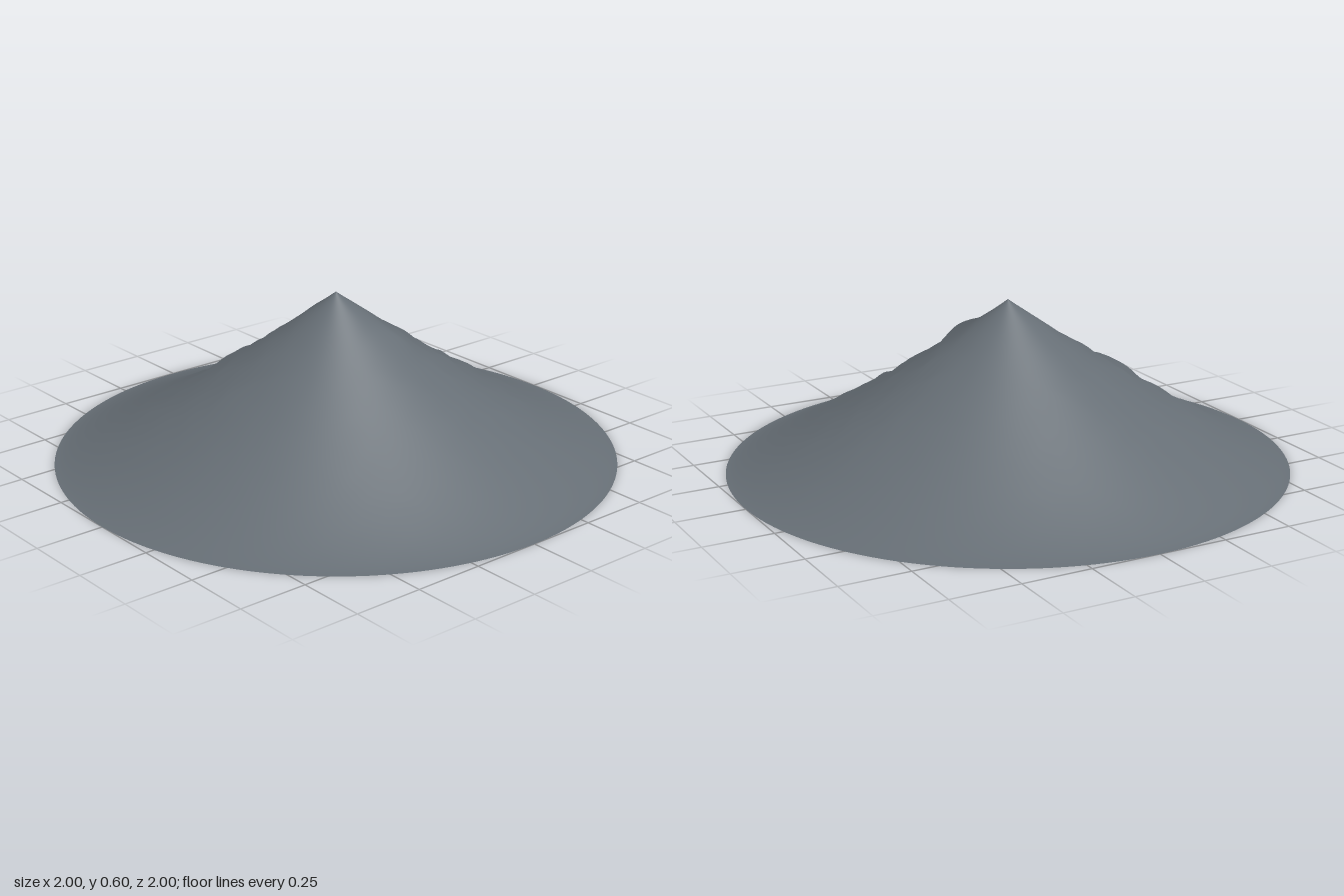
import * as THREE from 'three';

const HEIGHT = 0.6;

// Relative spread of the slope every 22.5 degrees, from +x towards +z
const SPREAD = [0.67, 0.63, 0.6, 0.65, 0.66, 0.685, 0.67, 0.62, 0.61, 0.64, 0.68, 0.695, 0.655, 0.64, 0.645, 0.68]
  .map((r) => r / 0.65);

// Local shoulders: x, z, lift, radius
const SHOULDERS = [
  [0.2, -0.08, 0.03, 0.07],
  [-0.4, -0.05, 0.035, 0.07],
  [0.0, 0.45, 0.025, 0.07],
  [0.42, 0.46, 0.015, 0.08],
];

const profile = (r) => HEIGHT * Math.pow(Math.max(0, 1 - r), 1.25);

function spreadAt(angle) {
  const t = ((angle / (Math.PI * 2) + 1) % 1) * 16;
  const i = Math.floor(t) % 16;
  const f = t - Math.floor(t);
  return THREE.MathUtils.lerp(SPREAD[i], SPREAD[(i + 1) % 16], f * f * (3 - 2 * f));
}

// Ground height: smooth cone, uneven spread, shoulders and fine ridges
function heightAt(x, z) {
  const r = Math.hypot(x, z);
  const fade = Math.min(1, r / 0.3) * Math.min(1, (1 - r) / 0.35);
  const angle = Math.atan2(z, x);
  const scale = 1 + (spreadAt(angle) - 1) * Math.max(0, fade);
  let y = profile(r / scale);
  for (const [sx, sz, lift, size] of SHOULDERS) {
    y += lift * Math.exp(-((x - sx) ** 2 + (z - sz) ** 2) / (size * size));
  }
  const ridges = Math.sin(x * 23 + Math.sin(z * 17) * 1.5) * Math.sin(z * 21 + Math.sin(x * 19) * 1.5);
  const grain = Math.sin(x * 51 + z * 13) * Math.sin(z * 47 - x * 17);
  return y + Math.max(0, fade) * (ridges * 0.009 + grain * 0.004);
}

export function createModel() {
  const rock = new THREE.MeshStandardMaterial({ color: 0x666e75, side: THREE.DoubleSide });
  rock.name = 'slate grey rock';

  // Smooth cone from rim to peak
  const rings = 80;
  const points = [];
  for (let i = 0; i <= rings; i++) {
    const r = 1 - i / rings;
    points.push(new THREE.Vector2(r, profile(r)));
  }
  const geometry = new THREE.LatheGeometry(points, 160);

  // Roughen the slope, keeping the soft shading of the cone
  const pos = geometry.attributes.position;
  for (let i = 0; i < pos.count; i++) {
    const x = pos.getX(i);
    const z = pos.getZ(i);
    const r = Math.hypot(x, z);
    if (r > 0.001 && r < 0.999) pos.setY(i, Math.max(0, heightAt(x, z)));
  }

  const mountain = new THREE.Mesh(geometry, rock);
  mountain.name = 'mountain';
  const group = new THREE.Group();
  group.name = 'mountainPeak';
  group.add(mountain);
  return group;
}
